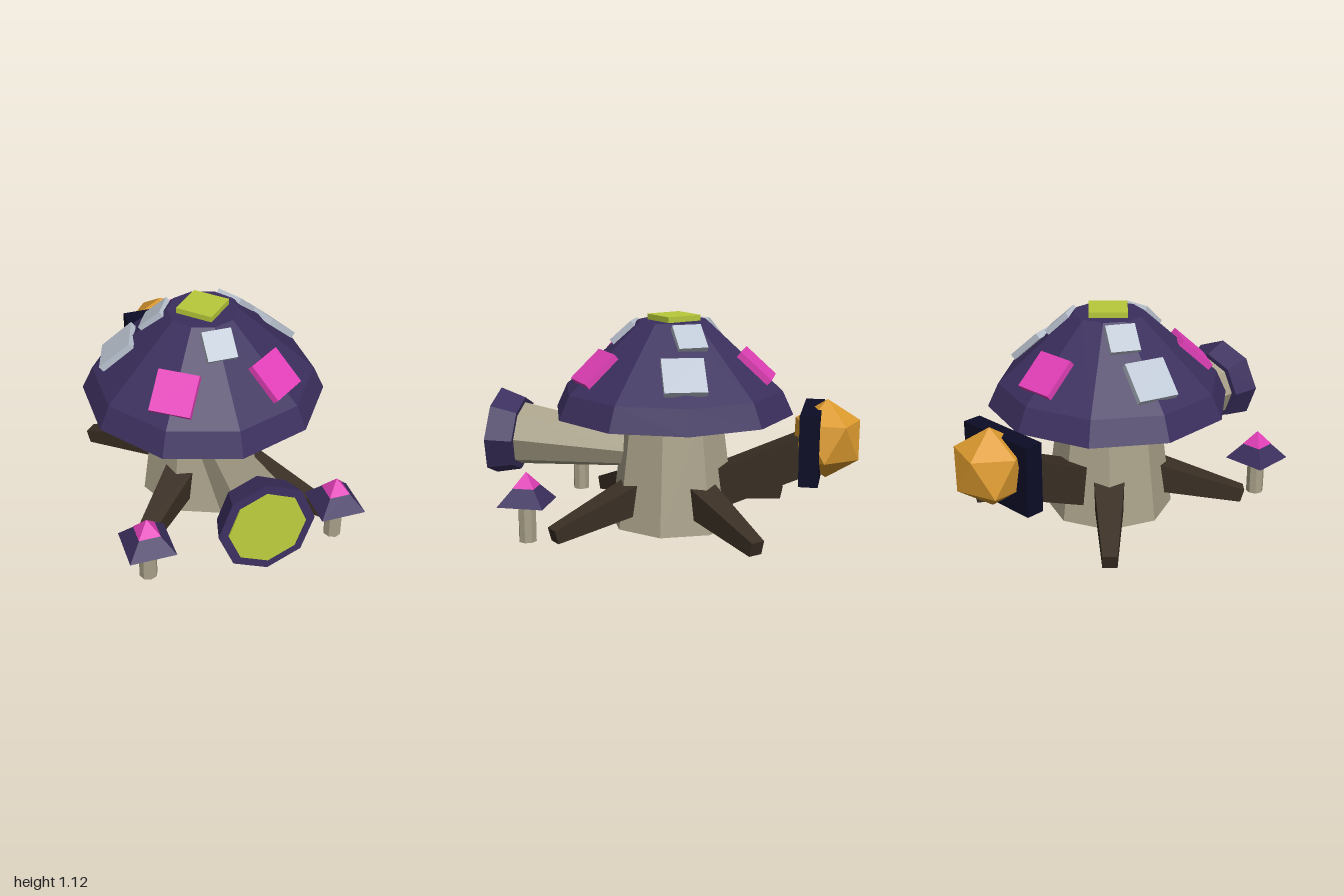
import * as THREE from 'three';

const mat = (name, color) => {
  const m = new THREE.MeshStandardMaterial({ color, flatShading: true });
  m.name = name;
  return m;
};

export function createModel() {
  const purple = mat('purple', 0x3b2f5e);
  const beige = mat('beige', 0xa9a189);
  const lime = mat('lime', 0xb8ca3b);
  const pink = mat('pink', 0xe23fb8);
  const grey = mat('pale grey', 0xbcc5d2);
  const brown = mat('dark brown', 0x3a2f24);
  const navy = mat('navy', 0x0c0c26);
  const orange = mat('orange', 0xdc9a2e);

  const model = new THREE.Group();
  const CZ = -0.01; // depth of the main axis

  const add = (parent, name, geo, material, pos, rotX = 0) => {
    const mesh = new THREE.Mesh(geo, material);
    mesh.name = name;
    mesh.position.set(...pos);
    mesh.rotation.x = rotX;
    parent.add(mesh);
    return mesh;
  };
  const cyl = (top, bottom, height, sides) => new THREE.CylinderGeometry(top, bottom, height, sides);
  // square-section bar; sizes are half widths
  const bar = (top, bottom, height) =>
    cyl(top * Math.SQRT2, bottom * Math.SQRT2, height, 4).rotateY(Math.PI / 4);
  // group turned about the main axis, its +z pointing outward
  const spoke = (name, angle) => {
    const g = new THREE.Group();
    g.name = name;
    g.position.z = CZ;
    g.rotation.y = angle;
    model.add(g);
    return g;
  };

  // Stem and cap
  add(model, 'stem', cyl(0.262, 0.345, 0.64, 8), beige, [0, 0.32, CZ]);
  const profile = [[0, 0.61], [0.645, 0.61], [0.587, 0.735], [0.187, 1.095], [0, 1.095]]
    .map(([r, y]) => new THREE.Vector2(r, y));
  add(model, 'cap', new THREE.LatheGeometry(profile, 10), purple, [0, 0, CZ]);
  add(model, 'capTopPlate', cyl(0.143, 0.143, 0.04, 4), lime, [0, 1.105, CZ - 0.005]);

  // Square patches on the cap: five large, three small
  const patch = (angle, size, r, y, material) =>
    add(spoke('capPatch', angle), 'patch', new THREE.BoxGeometry(size, 0.035, size), material, [0, y, r], 0.735);
  for (let i = 0; i < 5; i++) {
    const angle = Math.PI + i * Math.PI * 0.4;
    patch(angle, 0.215, 0.447, 0.866, i === 1 || i === 4 ? grey : pink);
  }
  for (let i = 0; i < 3; i++) patch(i * Math.PI * 2 / 3, 0.155, 0.257, 1.03, grey);

  // Front barrel with flared rim and round face, tilted slightly up
  const tilt = Math.PI / 2 - 0.0875;
  add(model, 'barrel', cyl(0.175, 0.095, 0.69, 8), beige, [0, 0.415, 0.495], tilt);
  add(model, 'barrelRim', cyl(0.243, 0.205, 0.14, 8), purple, [0, 0.449, 0.905], tilt);
  add(model, 'barrelFace', cyl(0.195, 0.195, 0.016, 8), lime, [0, 0.4555, 0.975], tilt);

  // Rear arm, plate and faceted knob
  add(model, 'rearArm', new THREE.BoxGeometry(0.195, 0.205, 0.53), brown, [0, 0.307, -0.49], 0.42);
  add(model, 'rearPlate', new THREE.BoxGeometry(0.465, 0.37, 0.1), navy, [0, 0.468, -0.755]);
  const knob = new THREE.IcosahedronGeometry(0.211, 0).rotateZ(Math.atan(2 / (1 + Math.sqrt(5))));
  add(model, 'rearKnob', knob.scale(1, 1, 0.94), orange, [0, 0.49, -0.832]);

  // Four tapered roots
  for (let i = 0; i < 4; i++) {
    const root = spoke('root', Math.PI / 4 + i * Math.PI / 2);
    add(root, 'rootBar', bar(0.038, 0.084, 0.55), brown, [0, 0.112, 0.473], Math.PI / 2 + 0.27);
  }

  // Pair of small mushrooms
  for (const side of [-1, 1]) {
    const small = new THREE.Group();
    small.name = side > 0 ? 'leftSmallMushroom' : 'rightSmallMushroom';
    small.position.set(side * 0.507, 0, 0.652);
    model.add(small);
    add(small, 'smallStem', cyl(0.047, 0.047, 0.23, 8), beige, [0, 0.115, 0]);
    add(small, 'smallCap', bar(0.05, 0.12, 0.09), purple, [0, 0.25, 0]);
    add(small, 'smallTip', bar(0, 0.056, 0.076), pink, [0, 0.328, 0]);
  }

  return model;
}
